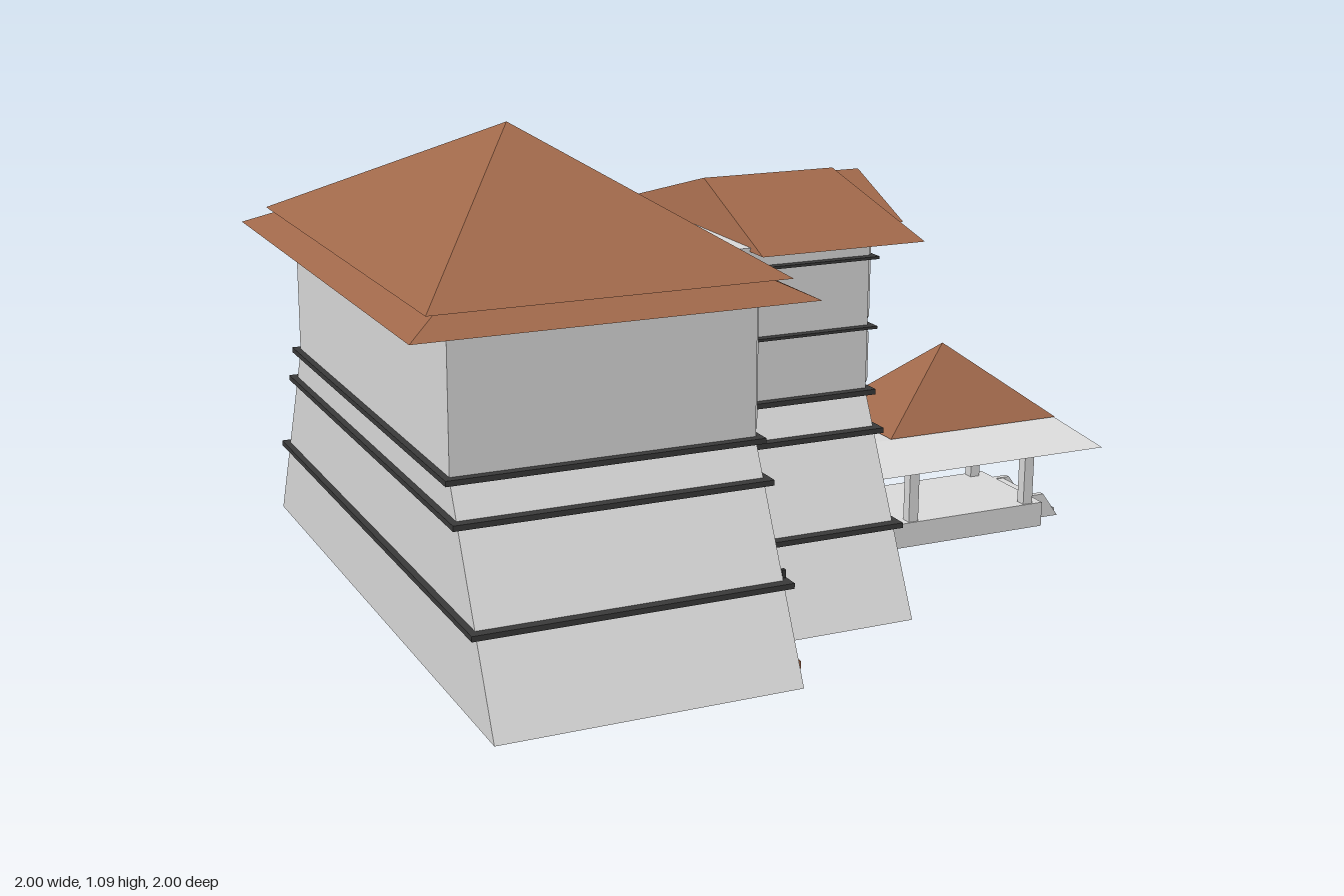
import * as THREE from 'three';

const mat = (name, color, side = THREE.FrontSide) => {
  const m = new THREE.MeshStandardMaterial({ color, side });
  m.name = name;
  return m;
};

export function createModel() {
  const wall = mat('pale wall', 0xdcdcdc);
  const roof = mat('terracotta', 0xa0684a);
  const dark = mat('dark trim', 0x3a3a3a);
  const beige = mat('beige stair tower', 0xb4af9f);
  const pane = mat('window pane', 0xc9cbcc);

  // The house lies along local x (porch at +x) and is turned 45 degrees.
  const model = new THREE.Group();
  model.name = 'house';
  const house = new THREE.Group();
  house.name = 'houseBody';
  house.rotation.y = Math.PI / 4;
  model.add(house);

  const add = (name, geo, material) => {
    const mesh = new THREE.Mesh(geo, material);
    mesh.name = name;
    house.add(mesh);
    return mesh;
  };
  // Box given by its extents on each axis
  const box = (name, x0, x1, y0, y1, z0, z1, material) => {
    const g = new THREE.BoxGeometry(x1 - x0, y1 - y0, z1 - z0);
    g.translate((x0 + x1) / 2, (y0 + y1) / 2, (z0 + z1) / 2);
    return add(name, g, material);
  };

  // Solid between two level rectangles [x0, x1, halfDepth, y];
  // faces are grouped as bottom, top, -z, +x, +z, -x
  const hip = (name, lower, upper, materials) => {
    const ring = ([x0, x1, h, y]) => [[x0, y, -h], [x1, y, -h], [x1, y, h], [x0, y, h]];
    const b = ring(lower), t = ring(upper);
    const quads = [b, [t[3], t[2], t[1], t[0]]];
    for (let i = 0; i < 4; i++) {
      const j = (i + 1) % 4;
      quads.push([b[j], b[i], t[i], t[j]]);
    }
    const pos = [];
    const g = new THREE.BufferGeometry();
    quads.forEach(([p, q, r, s], i) => {
      pos.push(...p, ...q, ...r, ...p, ...r, ...s);
      g.addGroup(i * 6, 6, i);
    });
    g.setAttribute('position', new THREE.Float32BufferAttribute(pos, 3));
    g.computeVertexNormals();
    return add(name, g, materials);
  };
  const roofFaces = [wall, roof, roof, roof, roof, roof];

  // Blocks with battered side walls up to y = 0.47
  const KNEE = 0.47;
  const block = (name, x0, x1, foot, head, top) => {
    const s = new THREE.Shape([
      [-foot, 0], [foot, 0], [head, KNEE], [head, top], [-head, top], [-head, KNEE],
    ].map(([x, y]) => new THREE.Vector2(x, y)));
    const g = new THREE.ExtrudeGeometry(s, { depth: x1 - x0, bevelEnabled: false });
    g.rotateY(Math.PI / 2);
    g.translate(x0, 0, 0);
    add(name, g, wall);
  };
  const MAIN = { x0: -0.636, x1: 0.042, foot: 0.778, head: 0.545 };
  const REAR = { x0: 0.03, x1: 0.44, foot: 0.545, head: 0.312 };
  block('mainBlock', MAIN.x0, MAIN.x1, MAIN.foot, MAIN.head, 0.79);
  block('rearBlock', REAR.x0, REAR.x1, REAR.foot, REAR.head, 0.825);

  // Dark string courses round both blocks
  for (const b of [MAIN, REAR]) {
    for (const y of [0.195, 0.39, 0.47]) {
      const h = b.foot + (b.head - b.foot) * (y / KNEE) + 0.02;
      box('stringCourse', b.x0 - 0.015, b.x1 + 0.015, y - 0.006, y + 0.006, -h, h, dark);
    }
  }
  for (const y of [0.62, 0.78]) {
    box('upperLedge', 0.05, 0.455, y - 0.003, y + 0.003, -0.332, 0.332, dark);
  }

  // Main roof: flared eave skirt below a pyramid
  hip('mainEave', [-0.742, 0.141, 0.64, 0.78], [-0.657, 0.056, 0.555, 0.82], roofFaces);
  hip('mainRoof', [-0.693, 0.099, 0.594, 0.82], [-0.3, -0.3, 0, 1.085], roofFaces);
  // Rear ridge roof with a small gablet over the tower
  hip('rearRoof', [0.141, 0.544, 0.375, 0.817], [0.18, 0.516, 0, 0.925], roofFaces);
  hip('towerRoof', [0.5, 0.615, 0.163, 0.817], [0.5, 0.585, 0, 0.918], roofFaces);

  // Stair tower
  box('stairTower', 0.42, 0.507, 0.19, 0.82, -0.095, 0.095, beige);

  // Windows facing the porch side: pane with raised bars
  const windowGrid = (x, y0, y1, z0, z1, rows, cols) => {
    box('windowPane', x - 0.004, x + 0.002, y0, y1, z0, z1, pane);
    const w = 0.005;
    for (let i = 0; i <= cols; i++) {
      const z = z0 + ((z1 - z0) * i) / cols;
      box('windowBar', x, x + 0.008, y0, y1, z - w, z + w, wall);
    }
    for (const r of rows) {
      const y = y0 + (y1 - y0) * r;
      box('windowBar', x, x + 0.008, y - w, y + w, z0, z1, wall);
    }
  };
  for (const s of [-1, 1]) {
    const span = (a, b) => (s > 0 ? [a, b] : [-b, -a]);
    windowGrid(MAIN.x1, 0.49, 0.77, ...span(0.328, 0.53), [0, 0.5, 1], 3);
    windowGrid(REAR.x1, 0.49, 0.605, ...span(0.11, 0.3), [0, 0.25, 1], 3);
    windowGrid(REAR.x1, 0.64, 0.81, ...span(0.11, 0.3), [0, 0.35, 1], 3);

    // Terracotta planters at the foot, small vents on the floors above
    for (const [x, a, b] of [[MAIN.x1, 0.56, 0.74], [REAR.x1, 0.15, 0.5]]) {
      const mid = (a + b) / 2;
      for (const [p, q] of [[a, mid - 0.01], [mid + 0.01, b]]) {
        box('planter', x, x + 0.012, 0.024, 0.044, ...span(p, q), roof);
      }
    }
    for (const [x, a, y] of [[MAIN.x1, 0.42, 0.4], [MAIN.x1, 0.56, 0.205],
      [REAR.x1, 0.16, 0.4], [REAR.x1, 0.2, 0.205]]) {
      for (let i = 0; i < 4; i++) {
        const z = a + i * 0.035;
        box('vent', x, x + 0.008, y, y + 0.018, ...span(z, z + 0.01), dark);
      }
    }
  }

  // Porch: plinth, steps with sloping cheeks, posts
  box('porchPlinth', 0.43, 1.06, 0, 0.062, -0.137, 0.137, wall);
  for (let i = 0; i < 4; i++) {
    box('porchStep', 1.05, 1.145 - i * 0.021, i * 0.015, (i + 1) * 0.015, -0.07, 0.07, wall);
  }
  for (const s of [-1, 1]) {
    const cheek = hip('stepCheek', [1.05, 1.145, 0.007, 0], [1.05, 1.1, 0.007, 0.062], wall);
    cheek.position.z = s * 0.077;
    for (const x of [0.51, 0.69, 1.02]) {
      box('porchPost', x - 0.013, x + 0.013, 0.06, 0.255, s * 0.12 - 0.013, s * 0.12 + 0.013, wall);
    }
  }
  // Porch canopy with pale side slopes and a terracotta end, then its pyramid
  hip('porchCanopy', [0.43, 1.103, 0.311, 0.25], [0.43, 1.075, 0.15, 0.285],
    [wall, wall, wall, roof, wall, wall]);
  hip('porchRoof', [0.608, 1.075, 0.152, 0.287], [0.838, 0.838, 0, 0.465], roofFaces);

  return model;
}
